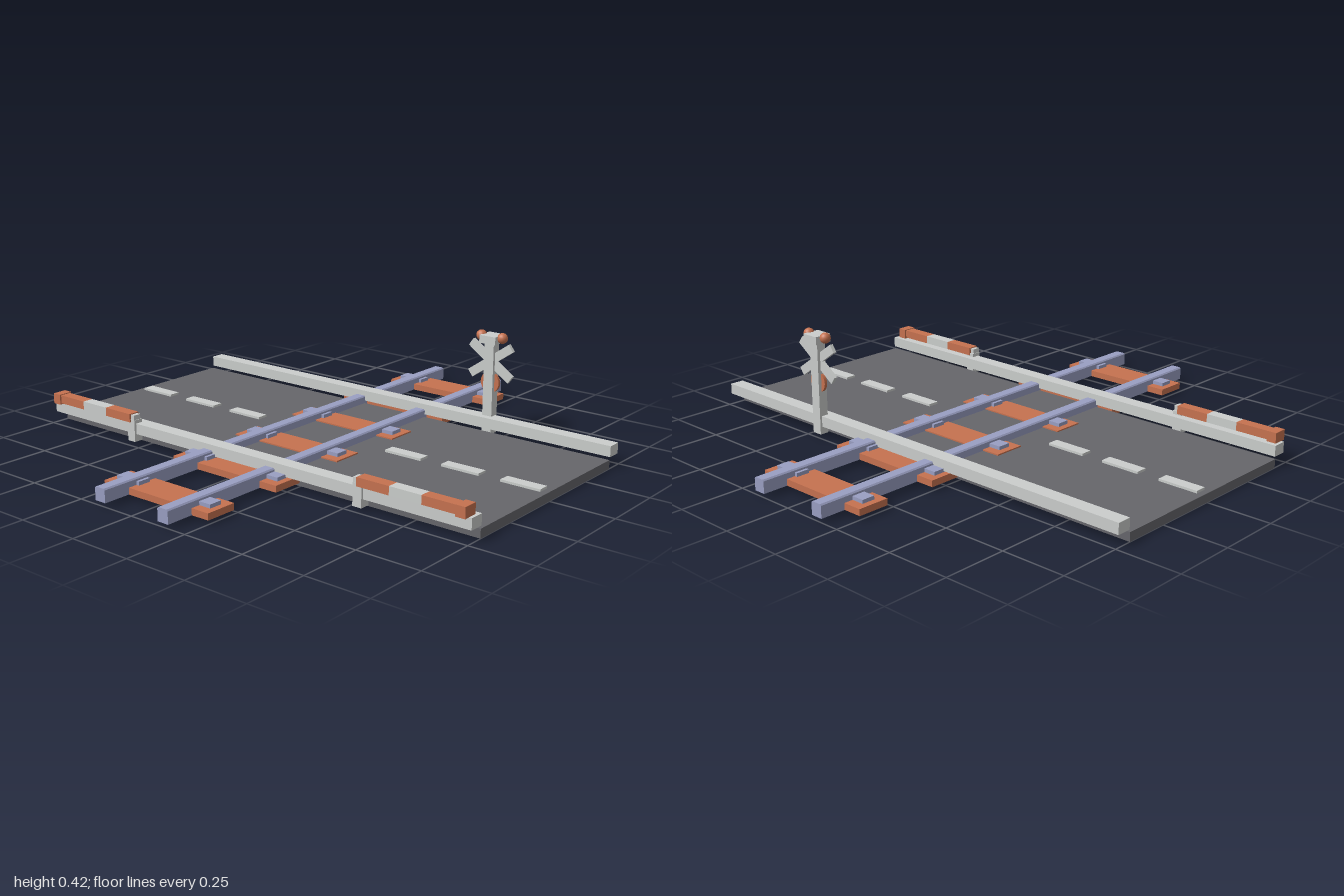
import * as THREE from 'three';

const mat = (name, color) => Object.assign(new THREE.MeshStandardMaterial({ color }), { name });

export function createModel() {
  const asphalt = mat('asphalt', 0x66666b);
  const white = mat('offWhite', 0xcbcecc);
  const rust = mat('rustRed', 0xc67250);
  const steel = mat('steelBlue', 0x9a9fc3);
  const model = new THREE.Group();
  model.name = 'levelCrossing';

  const add = (name, geometry, material, x, y, z, parent = model) => {
    const mesh = new THREE.Mesh(geometry, material);
    mesh.name = name;
    mesh.position.set(x, y, z);
    parent.add(mesh);
    return mesh;
  };
  // Box given by its limits on each axis
  const box = (name, material, [x0, x1], [y0, y1], [z0, z1], parent = model) =>
    add(name, new THREE.BoxGeometry(x1 - x0, y1 - y0, z1 - z0), material,
      (x0 + x1) / 2, (y0 + y1) / 2, (z0 + z1) / 2, parent);

  // Road slab, centre dashes and kerb beams
  box('road', asphalt, [-1, 1], [0, 0.034], [-0.427, 0.427]);
  for (const s of [-1, 1]) {
    for (const x of [0.395, 0.645, 0.895]) {
      box('roadDash', white, [s * x - 0.08, s * x + 0.08], [0.03, 0.043], [-0.026, 0.02]);
    }
  }
  box('frontKerbBeam', white, [-1, 1], [0.044, 0.086], [0.423, 0.48]);
  box('backKerbBeam', white, [-1, 1], [0.044, 0.086], [-0.487, -0.43]);

  // Sleepers with a fastening plate at each rail
  for (let i = 0; i < 6; i++) {
    const z = -0.838 + i * 0.3335;
    box('sleeper', rust, [-0.25, 0.25], [0.014, 0.039], [z - 0.062, z + 0.062]);
    for (const s of [-1, 1]) {
      const x = s * 0.17;
      box('fasteningPlate', steel, [x - 0.055, x + 0.055], [0.03, 0.053], [z - 0.026, z + 0.026]);
    }
  }

  // Rails with slightly chamfered tops
  const profile = new THREE.Shape([
    [-0.024, 0.014], [0.024, 0.014], [0.024, 0.06], [0.019, 0.065], [-0.019, 0.065], [-0.024, 0.06],
  ].map(([x, y]) => new THREE.Vector2(x, y)));
  for (const s of [-1, 1]) {
    add('rail', new THREE.ExtrudeGeometry(profile, { depth: 2, bevelEnabled: false }), steel, s * 0.151, 0, -1);
  }

  // Striped barrier arms on short posts
  for (const s of [-1, 1]) {
    const gate = new THREE.Group();
    gate.name = s < 0 ? 'rightGate' : 'leftGate';
    model.add(gate);
    const part = (name, m, a, b, y, z) =>
      box(name, m, s > 0 ? [a, b] : [-b, -a], y, z, gate);
    part('gatePost', white, 0.53, 0.568, [0.014, 0.1], [0.45, 0.489]);
    part('armPivot', white, 0.532, 0.56, [0.094, 0.119], [0.456, 0.488]);
    part('armInner', rust, 0.55, 0.685, [0.09, 0.123], [0.449, 0.494]);
    part('armMiddle', white, 0.685, 0.815, [0.09, 0.123], [0.449, 0.494]);
    part('armOuter', rust, 0.815, 0.95, [0.09, 0.123], [0.449, 0.494]);
    part('armCap', rust, 0.95, 0.988, [0.085, 0.126], [0.442, 0.5]);
  }

  // Warning signal: post, head, lamps, crossed boards and disc
  const signal = new THREE.Group();
  signal.name = 'warningSignal';
  signal.position.set(0.449, 0, -0.477);
  model.add(signal);
  box('signalPost', white, [-0.021, 0.021], [0.014, 0.4], [-0.019, 0.019], signal);
  box('signalHead', white, [-0.036, 0.036], [0.377, 0.408], [-0.036, 0.034], signal);
  for (const s of [-1, 1]) {
    add('lamp', new THREE.SphereGeometry(0.021, 16, 12), rust, s * 0.047, 0.4, 0, signal);
    const board = add('crossBoard', new THREE.BoxGeometry(0.22, 0.034, 0.014), white, 0, 0.305, 0, signal);
    board.rotation.z = s * 0.61;
  }
  const disc = add('signalDisc', new THREE.CylinderGeometry(0.041, 0.041, 0.012, 20), rust, 0, 0.219, 0, signal);
  disc.rotation.x = Math.PI / 2;

  return model;
}
